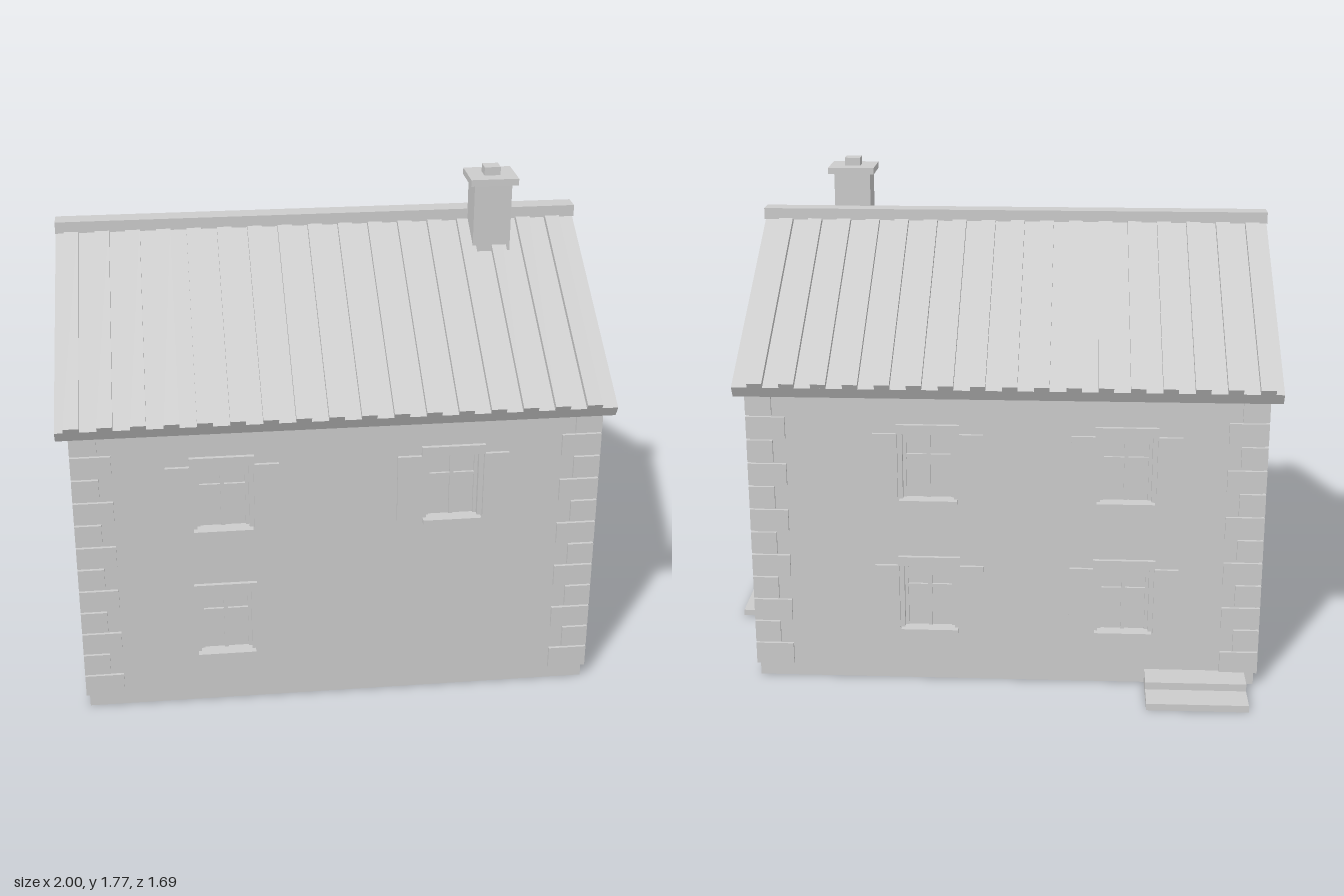
import * as THREE from 'three';

const mat = new THREE.MeshStandardMaterial({ color: 0xcccccc, flatShading: true });
const X0 = -0.95, X1 = 0.84, Z0 = -0.635, Z1 = 0.77; // outer wall faces
const RIDGE = 0.07, WALL = 0.05, EAVE = 1.11;

function add(parent, name, geometry) {
  const mesh = new THREE.Mesh(geometry, mat);
  mesh.name = name;
  parent.add(mesh);
  return mesh;
}

// Box given by its extents on each axis
function box(parent, name, x0, x1, y0, y1, z0, z1) {
  const mesh = add(parent, name, new THREE.BoxGeometry(x1 - x0, y1 - y0, z1 - z0));
  mesh.position.set((x0 + x1) / 2, (y0 + y1) / 2, (z0 + z1) / 2);
  return mesh;
}

const polygon = (pts) => new THREE.Shape(pts.map(([x, y]) => new THREE.Vector2(x, y)));
const extrude = (shape, depth) =>
  new THREE.ExtrudeGeometry(shape, { depth, bevelEnabled: false, curveSegments: 10 });

// Group whose local x runs right, y up and z out of the wall face
function wallGroup(parent, name, x, z, turn) {
  const g = new THREE.Group();
  g.name = name;
  g.position.set(x, 0, z);
  g.rotation.y = turn;
  parent.add(g);
  return g;
}

function wallPanel(wall, outline, holes) {
  const shape = polygon(outline);
  shape.holes.push(...holes);
  add(wall, 'wallPanel', extrude(shape, WALL)).position.z = -WALL;
}

// Recessed window with cross bars, lintel, sill and optional shutters; returns its opening
function windowAt(wall, cx, y0, { w = 0.18, h = 0.245, shutters = true, bars = true, lintel = 0.22 } = {}) {
  const g = new THREE.Group();
  g.name = 'window';
  g.position.set(cx, y0, 0);
  wall.add(g);
  const r = w / 2;
  box(g, 'windowPane', -r - 0.005, r + 0.005, -0.005, h + 0.005, -0.045, -0.03);
  if (bars) {
    for (const s of [-1, 1]) {
      const e = s * (r - 0.006);
      box(g, 'windowFrame', e - 0.006, e + 0.006, 0, h, -0.03, -0.02);
    }
    box(g, 'uprightBar', -0.007, 0.007, 0, h, -0.03, -0.02);
    box(g, 'crossBar', -r, r, h * 0.61, h * 0.61 + 0.012, -0.03, -0.021);
  }
  box(g, 'lintel', -lintel / 2, lintel / 2, h, h + 0.034, -0.01, 0.014);
  box(g, 'sill', -lintel / 2 + 0.008, lintel / 2 - 0.008, -0.014, 0.002, -0.02, 0.024);
  if (shutters) for (const s of [-1, 1]) {
    const c = s * (r + 0.06);
    box(g, 'shutter', c - 0.043, c + 0.043, 0, h, -0.005, 0.012);
  }
  return polygon([[cx - r, y0], [cx - r, y0 + h], [cx + r, y0 + h], [cx + r, y0]]);
}

// Arched outline for the door and its opening
function archShape(cx, r, y0, spring) {
  const s = new THREE.Shape();
  s.moveTo(cx - r, y0);
  s.lineTo(cx + r, y0);
  s.lineTo(cx + r, spring);
  s.absarc(cx, spring, r, 0, Math.PI, false);
  s.closePath();
  return s;
}

// Arched door with stone jambs and wedge stones; returns its opening
function doorAt(wall, cx) {
  const g = new THREE.Group();
  g.name = 'door';
  wall.add(g);
  const r = 0.118, spring = 0.4;
  add(g, 'doorPanel', extrude(archShape(cx, r + 0.004, 0.015, spring), 0.015)).position.z = -0.045;
  box(g, 'doorMiddleBar', cx - 0.005, cx + 0.005, 0.05, 0.44, -0.03, -0.024);
  for (const y of [0.117, 0.333])
    box(g, 'doorCrossBar', cx - 0.103, cx + 0.103, y - 0.01, y + 0.01, -0.03, -0.025);
  for (const s of [-1, 1]) {
    const c = cx + s * (r + 0.0275);
    box(g, 'doorJamb', c - 0.0275, c + 0.0275, 0, spring, -0.02, 0.016);
  }
  const n = 9, step = Math.PI / n;
  for (let i = 0; i < n; i++) {
    const key = i === (n - 1) / 2;
    const a = i * step + 0.02, b = (i + 1) * step - 0.02, outer = key ? 0.187 : 0.172;
    const at = (rad, t) => [cx + rad * Math.cos(t), spring + rad * Math.sin(t)];
    const stone = polygon([at(r, a), at(outer, a), at(outer, b), at(r, b)]);
    add(g, key ? 'keystone' : 'archStone', extrude(stone, key ? 0.042 : 0.036)).position.z = -0.02;
  }
  return archShape(cx, r, 0.02, spring);
}

function buildWalls(house) {
  const rect = (a, b) => [[a, 0], [b, 0], [b, EAVE], [a, EAVE]];
  // Front wall
  const front = wallGroup(house, 'frontWall', 0, Z1, 0);
  wallPanel(front, rect(X0 + WALL, X1 - WALL), [
    windowAt(front, -0.455, 0.695),
    windowAt(front, 0.338, 0.695),
    windowAt(front, -0.455, 0.2, { shutters: false }),
  ]);
  // Back wall: four shuttered windows
  const back = wallGroup(house, 'backWall', 0, Z0, Math.PI);
  const backHoles = [];
  for (const x of [-0.217, 0.475]) for (const y of [0.695, 0.2]) backHoles.push(windowAt(back, x, y));
  wallPanel(back, rect(-X1 + WALL, -X0 - WALL), backHoles);
  // Gable walls
  const gable = (a, b, mid) => [[a, 0], [b, 0], [b, EAVE], [mid, 1.51], [a, EAVE]];
  const left = wallGroup(house, 'doorGableWall', X1, 0, Math.PI / 2);
  wallPanel(left, gable(-Z1, -Z0, -RIDGE), [
    windowAt(left, -RIDGE, 0.695),
    windowAt(left, -RIDGE, 1.2, { w: 0.087, h: 0.11, shutters: false, bars: false, lintel: 0.14 }),
    doorAt(left, -RIDGE),
  ]);
  const right = wallGroup(house, 'plainGableWall', X0, 0, -Math.PI / 2);
  wallPanel(right, gable(Z0, Z1, RIDGE), [windowAt(right, RIDGE, 0.695)]);
  box(house, 'floor', X0 + 0.02, X1 - 0.02, 0, 0.012, Z0 + 0.02, Z1 - 0.02);
}

// Corner stones, alternating long and short on each face
function buildQuoins(house) {
  const out = 0.011;
  for (const [x, sx] of [[X0, 1], [X1, -1]]) for (const [z, sz] of [[Z0, 1], [Z1, -1]])
    for (let i = 0; i < 12; i++) {
      const y = 0.05 + i * 0.0865;
      const lx = i % 2 ? 0.08 : 0.125, lz = i % 2 ? 0.125 : 0.08;
      const xs = [x - sx * out, x + sx * lx].sort((a, b) => a - b);
      const zs = [z - sz * out, z + sz * lz].sort((a, b) => a - b);
      box(house, 'cornerStone', ...xs, y, y + 0.08, ...zs);
    }
}

// Chevron cross-section of the roof between two heights above its underside, extruded along x
function chevron(bottom, top, x0, x1) {
  const run = 0.741, tan = Math.tan(Math.PI / 6), cos = Math.cos(Math.PI / 6);
  const end = (t) => [run + t * 0.5, 1.505 - run * tan + t * cos];
  const [bx, by] = end(bottom), [tx, ty] = end(top);
  const shape = polygon([
    [-bx, by], [0, 1.505 + bottom / cos], [bx, by],
    [tx, ty], [0, 1.505 + top / cos], [-tx, ty],
  ]);
  const g = extrude(shape, x1 - x0);
  g.rotateY(Math.PI / 2);
  g.translate(x0, 0, RIDGE);
  return g;
}

function buildRoof(house) {
  const roof = new THREE.Group();
  roof.name = 'roof';
  house.add(roof);
  add(roof, 'roofSlab', chevron(0, 0.045, -1, 0.885));
  for (let i = 0; i < 17; i++) {
    const x = -0.945 + i * 0.1093;
    add(roof, 'roofRib', chevron(0.04, 0.065, x - 0.026, x + 0.026));
  }
  box(roof, 'ridgeCap', -1, 0.885, 1.555, 1.597, RIDGE - 0.035, RIDGE + 0.035);
  box(roof, 'chimneyShaft', 0.49, 0.625, 1.42, 1.725, 0.098, 0.218);
  box(roof, 'chimneyCap', 0.473, 0.645, 1.72, 1.744, 0.077, 0.235);
  box(roof, 'chimneyPot', 0.53, 0.588, 1.74, 1.774, 0.13, 0.184);
}

export function createModel() {
  const house = new THREE.Group();
  house.name = 'house';
  buildWalls(house);
  buildQuoins(house);
  buildRoof(house);
  // Steps
  box(house, 'doorStep', X1 - 0.02, 1, 0, 0.023, -0.148, 0.287);
  box(house, 'backLowerStep', -0.915, -0.557, 0, 0.025, -0.845, Z0 + 0.01);
  box(house, 'backUpperStep', -0.915, -0.557, 0.025, 0.052, -0.738, Z0 + 0.01);
  return house;
}
